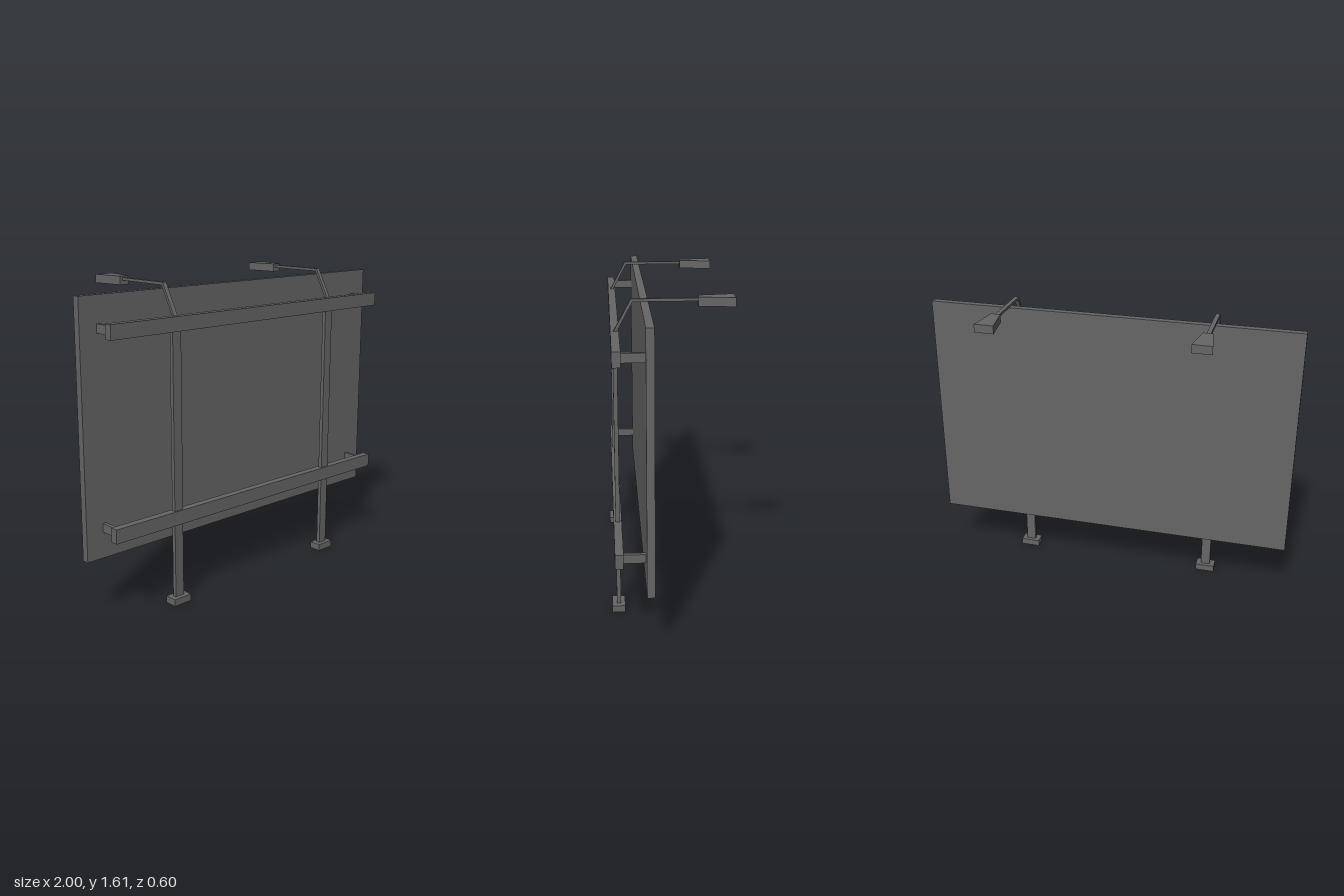
import * as THREE from 'three';

const material = new THREE.MeshStandardMaterial({ color: 0x666666, flatShading: true });
const openMaterial = material.clone();
openMaterial.side = THREE.DoubleSide;

export function createModel() {
  const model = new THREE.Group();
  model.name = 'billboard';

  const add = (name, geometry, x, y, z, mat = material) => {
    const mesh = new THREE.Mesh(geometry, mat);
    mesh.name = name;
    mesh.position.set(x, y, z);
    model.add(mesh);
  };
  const box = (name, w, h, d, x, y, z) => add(name, new THREE.BoxGeometry(w, h, d), x, y, z);

  // Extrudes an outline of [a, b] points, centred on its depth
  const prism = (points, depth) => {
    const shape = new THREE.Shape(points.map(([a, b]) => new THREE.Vector2(a, b)));
    return new THREE.ExtrudeGeometry(shape, { depth, bevelEnabled: false }).translate(0, 0, -depth / 2);
  };

  const frameZ = 0.264;

  // Display board
  box('panel', 2, 1.27, 0.038, 0, 0.936, 0.12);

  // Horizontal rails with a bracket to the board near each end
  for (const y of [0.455, 1.417]) {
    box('rail', 1.866, 0.072, 0.04, 0, y, frameZ);
    for (const side of [-1, 1]) box('bracket', 0.02, 0.044, 0.115, side * 0.895, y, 0.192);
  }

  // Bent lamp arm, outlined in (z, y); the flared lamp, outlined in (x, -z)
  const armOutline = [
    [0.272, 1.448], [0.187, 1.606], [-0.14, 1.606], [-0.14, 1.592], [0.179, 1.592], [0.256, 1.448],
  ];
  const armGeometry = prism(armOutline, 0.022).rotateY(-Math.PI / 2);
  const lampOutline = [[-0.025, 0.126], [0.025, 0.126], [0.051, 0.298], [-0.051, 0.298]];
  const lampGeometry = prism(lampOutline, 0.043).rotateX(-Math.PI / 2);

  // Hollow foot: a box without its bottom face (indices 18 to 23)
  const footGeometry = new THREE.BoxGeometry(0.106, 0.036, 0.066);
  const footIndex = Array.from(footGeometry.index.array);
  footIndex.splice(18, 6);
  footGeometry.setIndex(footIndex);
  footGeometry.clearGroups();

  // Posts, feet and lamps
  for (const side of [-1, 1]) {
    const x = side * 0.543;
    box('post', 0.052, 1.414, 0.021, x, 0.743, frameZ);
    add('foot', footGeometry, x, 0.018, 0.265, openMaterial);
    add('lampArm', armGeometry, x, 0, 0);
    add('lamp', lampGeometry, x, 1.592, 0);
  }

  return model;
}
